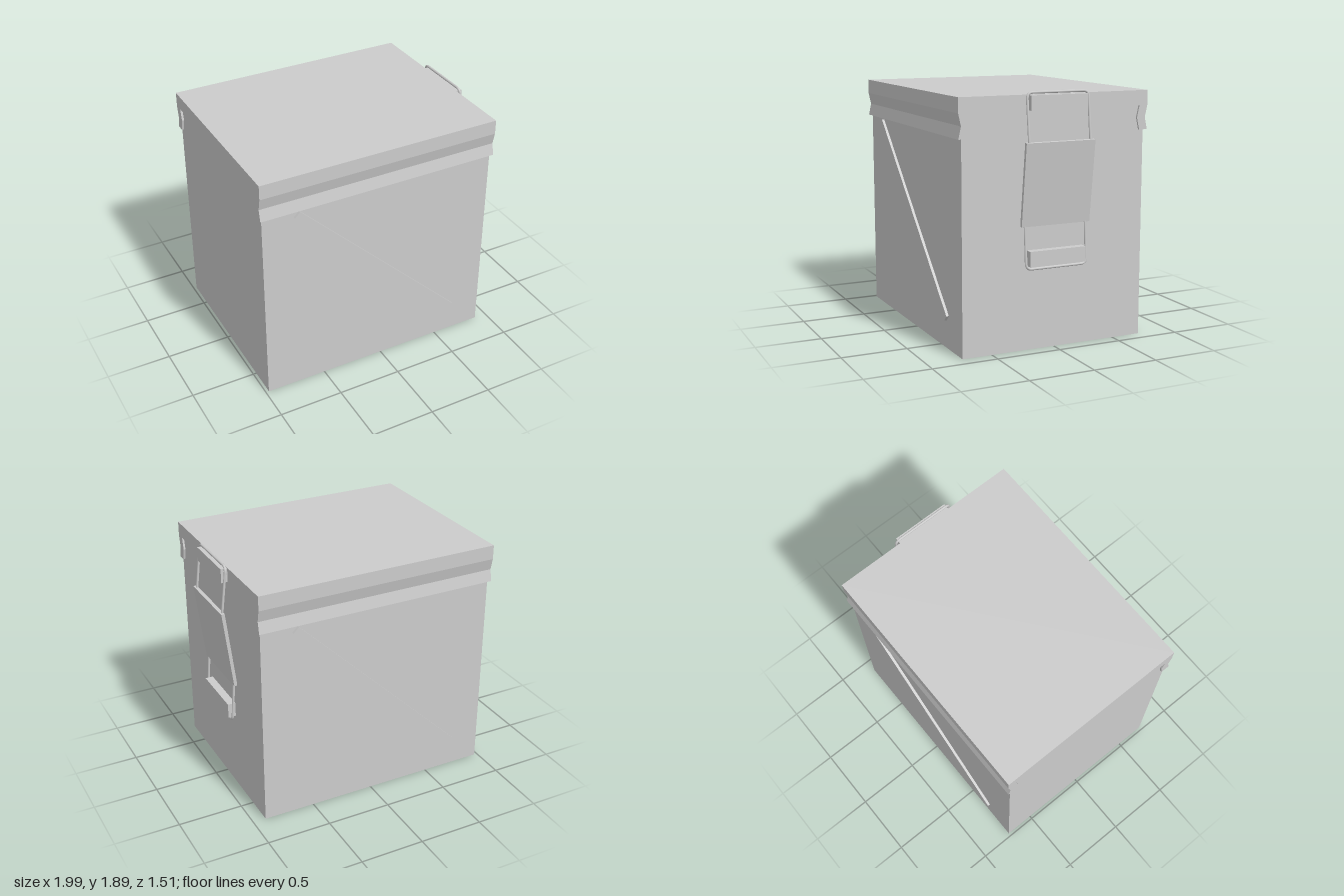
import * as THREE from 'three';

const grey = new THREE.MeshStandardMaterial({ color: 0xcccccc });

function add(group, name, geometry) {
  const mesh = new THREE.Mesh(geometry, grey);
  mesh.name = name;
  group.add(mesh);
  return mesh;
}

// Box given by its minimum and maximum corners
function boxBetween(group, name, [x0, y0, z0], [x1, y1, z1]) {
  const mesh = add(group, name, new THREE.BoxGeometry(x1 - x0, y1 - y0, z1 - z0));
  mesh.position.set((x0 + x1) / 2, (y0 + y1) / 2, (z0 + z1) / 2);
  return mesh;
}

function extrude(points, depth) {
  const shape = new THREE.Shape(points.map(([x, y]) => new THREE.Vector2(x, y)));
  return new THREE.ExtrudeGeometry(shape, { depth, bevelEnabled: false });
}

// Half of a wire loop: runs from the plate to a rounded end bar and back
function wireLoop(group, name, [x0, y0], [x1, y1]) {
  const w = 0.245, r = 0.045;
  const at = (t, z) => new THREE.Vector3(x0 + (x1 - x0) * t, y0 + (y1 - y0) * t, z);
  const bend = 1 - r / Math.abs(y1 - y0);
  const path = new THREE.CurvePath();
  path.add(new THREE.LineCurve3(at(0, -w), at(bend, -w)));
  path.add(new THREE.QuadraticBezierCurve3(at(bend, -w), at(1, -w), at(1, -w + r)));
  path.add(new THREE.LineCurve3(at(1, -w + r), at(1, w - r)));
  path.add(new THREE.QuadraticBezierCurve3(at(1, w - r), at(1, w), at(bend, w)));
  path.add(new THREE.LineCurve3(at(bend, w), at(0, w)));
  add(group, name, new THREE.TubeGeometry(path, 120, 0.01, 8));
}

export function createModel() {
  const model = new THREE.Group();
  model.name = 'metalBox';

  // Body
  boxBetween(model, 'body', [-0.975, 0, -0.73], [0.9, 1.8, 0.73]);

  // Lid: a cap whose front and back flanges pinch inwards
  const half = [[0.757, 1.86], [0.757, 1.75], [0.737, 1.66], [0.757, 1.57],
    [0.69, 1.57], [0.67, 1.66], [0.69, 1.75]];
  const mirrored = half.map(([z, y]) => [-z, y]).reverse();
  const lid = add(model, 'lid', extrude([...half, ...mirrored], 1.907));
  lid.rotation.y = Math.PI / 2;
  lid.position.x = -0.992;

  // Diagonal ribs, front and back
  for (const side of [1, -1]) {
    const rib = add(model, side > 0 ? 'frontRib' : 'backRib', new THREE.BoxGeometry(1.87, 0.06, 0.04));
    rib.position.set(-0.038, 0.883, side * 0.73);
    rib.rotation.z = -side * Math.atan2(1.305, 1.34);
  }

  // Latch on the left end: two hooks, a slanted plate and two wire loops
  const latch = new THREE.Group();
  latch.name = 'latch';
  model.add(latch);
  boxBetween(latch, 'upperHook', [0.9, 1.75, -0.225], [0.965, 1.857, 0.225]);
  boxBetween(latch, 'lowerHook', [0.89, 0.63, -0.225], [0.96, 0.743, 0.225]);
  const plate = add(latch, 'latchPlate',
    extrude([[0.896, 0.92], [0.921, 0.918], [0.996, 1.527], [0.97, 1.53]], 0.55));
  plate.position.z = -0.275;
  wireLoop(latch, 'upperLoop', [0.98, 1.5], [0.935, 1.876]);
  wireLoop(latch, 'lowerLoop', [0.911, 0.94], [0.935, 0.61]);

  return model;
}
